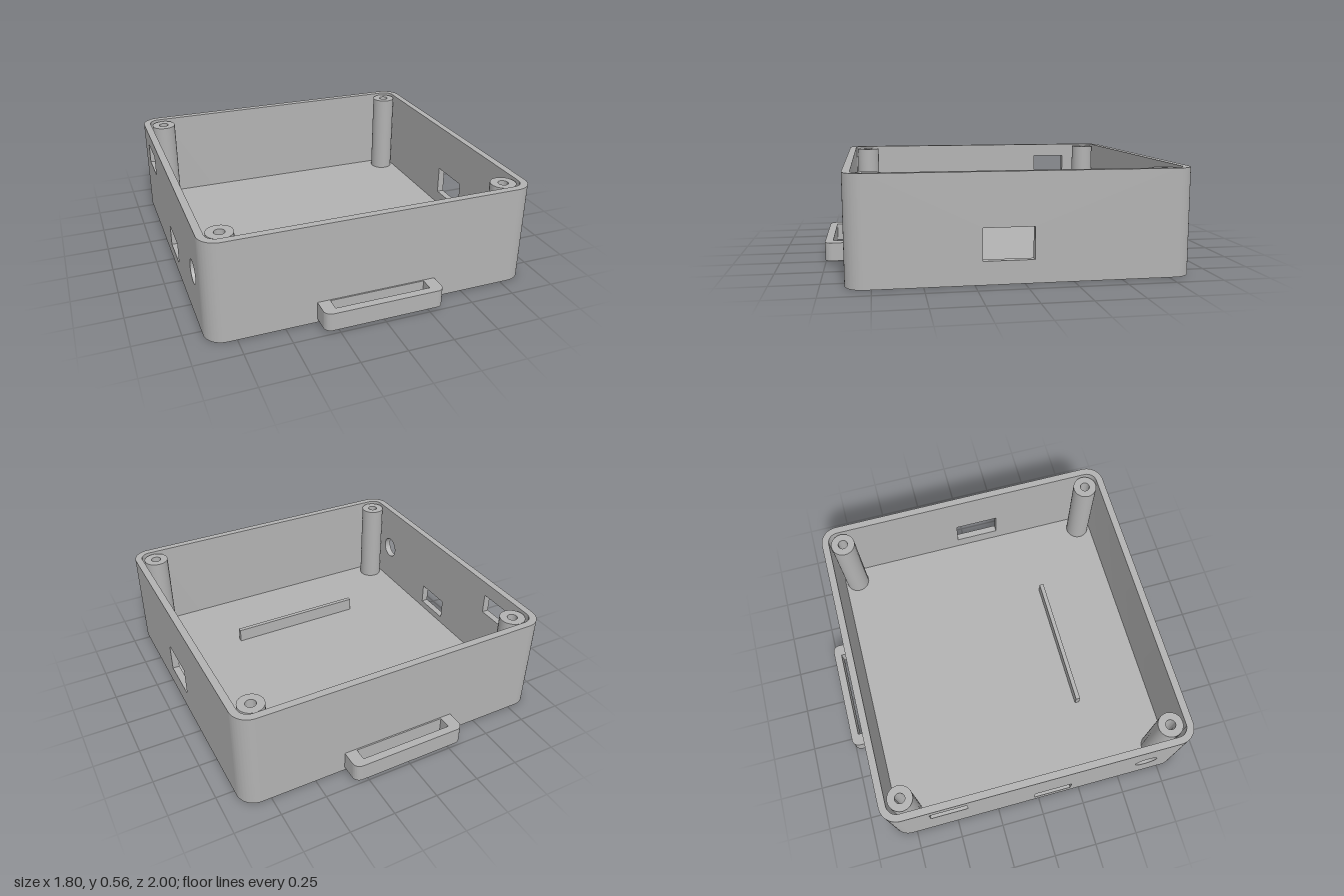
import * as THREE from 'three';
import { toCreasedNormals } from 'three/addons/utils/BufferGeometryUtils.js';

const W = 0.9, D = 0.88, H = 0.56, R = 0.1, T = 0.04; // half width, half depth, height, corner radius, wall
const CX = W - R, CZ = D - R;

const extrude = (shape, depth) => toCreasedNormals(
  new THREE.ExtrudeGeometry(shape, { depth, bevelEnabled: false, curveSegments: 12 }), 0.5);

// Extrude a plan shape (x, -z) upwards from y0 to y1
const slab = (shape, y0, y1) => extrude(shape, y1 - y0).rotateX(-Math.PI / 2).translate(0, y0, 0);

function rectPath(Type, x0, y0, x1, y1) {
  const p = new Type();
  p.moveTo(x0, y0).lineTo(x1, y0).lineTo(x1, y1).lineTo(x0, y1).closePath();
  return p;
}

// Side wall panel drawn in (z, y), with holes, outer or inner face at x
function sidePanel(x, holes) {
  const s = rectPath(THREE.Shape, -CZ, T, CZ, H);
  s.holes.push(...holes);
  return extrude(s, T).rotateY(-Math.PI / 2).translate(x, 0, 0);
}

export function createModel() {
  const model = new THREE.Group();
  const grey = new THREE.MeshStandardMaterial({ color: 0xb2b2b2 });
  grey.name = 'grey plastic';
  const add = (name, geometry) => {
    const m = new THREE.Mesh(geometry, grey);
    m.name = name;
    model.add(m);
    return m;
  };

  // Floor with rounded corners
  const floor = new THREE.Shape();
  floor.absarc(CX, CZ, R, 0, Math.PI / 2);
  floor.absarc(-CX, CZ, R, Math.PI / 2, Math.PI);
  floor.absarc(-CX, -CZ, R, Math.PI, Math.PI * 1.5);
  floor.absarc(CX, -CZ, R, Math.PI * 1.5, Math.PI * 2);
  add('floor', slab(floor, 0, T));

  // Front and back walls, each wrapping round two corners
  const wall = new THREE.Shape();
  wall.absarc(CX, CZ, R, 0, Math.PI / 2);
  wall.absarc(-CX, CZ, R, Math.PI / 2, Math.PI);
  wall.absarc(-CX, CZ, R - T, Math.PI, Math.PI / 2, true);
  wall.absarc(CX, CZ, R - T, Math.PI / 2, 0, true);
  wall.closePath();
  const wallGeo = slab(wall, T, H);
  add('backWall', wallGeo);
  add('frontWall', wallGeo).rotation.y = Math.PI;

  // Side walls with connector openings
  add('leftWall', sidePanel(W, [rectPath(THREE.Path, -0.05, 0.12, 0.21, 0.285)]));
  const round = new THREE.Path();
  round.absarc(0.63, 0.28, 0.065, 0, Math.PI * 2);
  add('rightWall', sidePanel(-W + T, [
    rectPath(THREE.Path, -0.03, 0.08, 0.19, 0.2),
    rectPath(THREE.Path, -0.635, 0.36, -0.425, 0.478),
    round,
  ]));

  // Corner screw posts with blind holes
  const profile = [[0.07, T], [0.07, 0.55], [0.028, 0.55], [0.028, 0.25], [0, 0.25]]
    .map(([x, y]) => new THREE.Vector2(x, y));
  const postGeo = toCreasedNormals(new THREE.LatheGeometry(profile, 32), 0.5);
  for (const sx of [-1, 1]) for (const sz of [-1, 1])
    add('screwPost', postGeo).position.set(sx * 0.78, 0, sz * 0.76);

  // Low rib on the floor
  add('floorRib', new THREE.BoxGeometry(0.8, 0.08, 0.025).translate(0, T + 0.04, 0.393));

  // Strap loops at back and front
  const loop = new THREE.Shape();
  loop.moveTo(-0.33, 0.87);
  loop.lineTo(0.33, 0.87);
  loop.absarc(0.29, 0.96, 0.04, 0, Math.PI / 2);
  loop.absarc(-0.29, 0.96, 0.04, Math.PI / 2, Math.PI);
  loop.closePath();
  loop.holes.push(rectPath(THREE.Path, -0.263, 0.888, 0.263, 0.957));
  const loopGeo = slab(loop, 0.02, 0.12);
  add('backStrapLoop', loopGeo);
  add('frontStrapLoop', loopGeo).rotation.y = Math.PI;

  return model;
}
